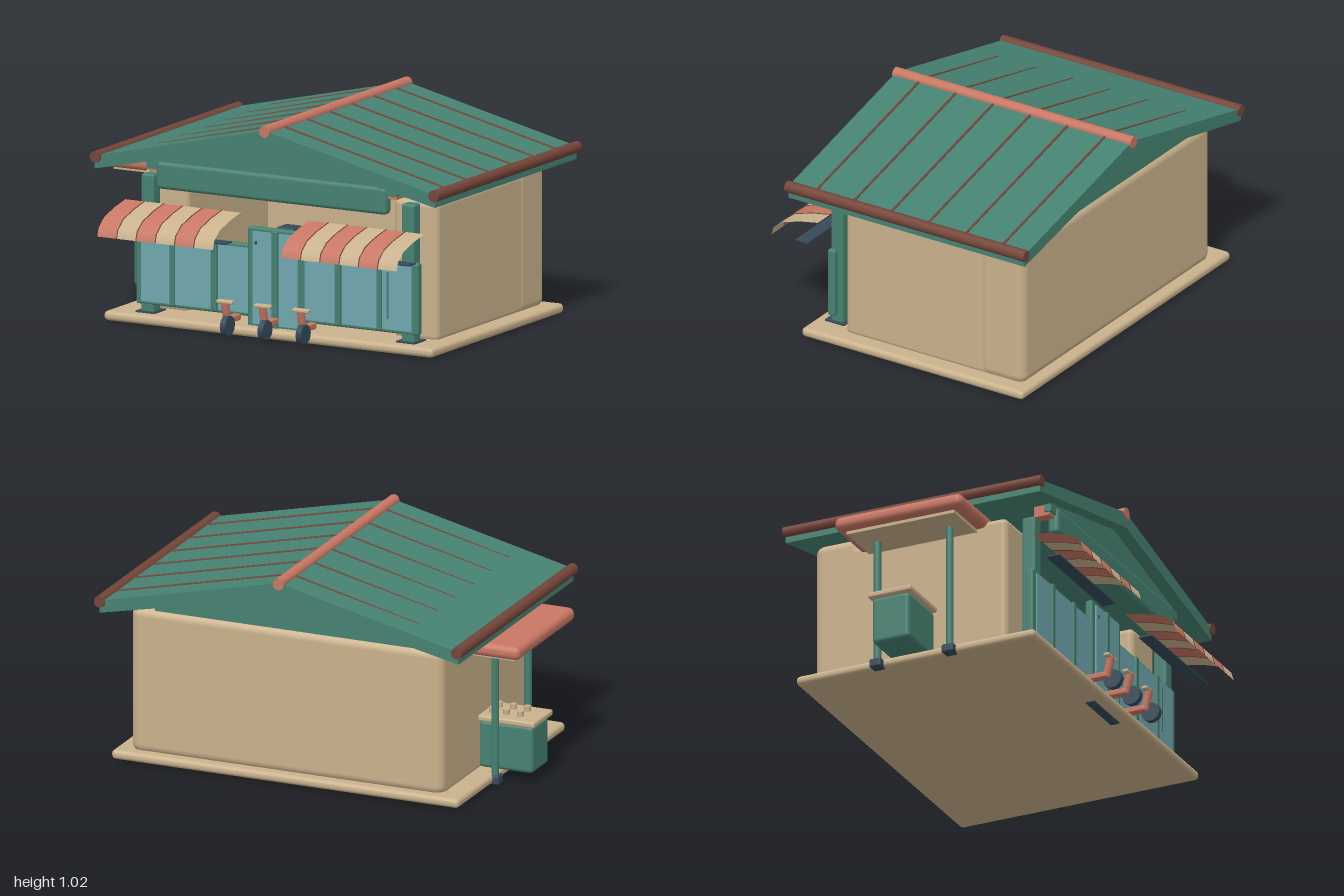
import * as THREE from 'three';
import { RoundedBoxGeometry } from 'three/addons/geometries/RoundedBoxGeometry.js';

const mat = (name, color, opts = {}) => {
  const m = new THREE.MeshStandardMaterial({ color, ...opts });
  m.name = name;
  return m;
};

export function createModel() {
  const root = new THREE.Group();
  root.name = 'marketKiosk';
  const D = { side: THREE.DoubleSide };
  const teal = mat('teal', 0x468272);
  const beige = mat('beige', 0xcab28c);
  const coral = mat('coral', 0xc97763);
  const brown = mat('darkBrown', 0x744539);
  const glass = mat('blueGlass', 0x70a8b0);
  const slate = mat('slate', 0x354a59);
  const coralCloth = mat('coralCloth', 0xc97763, D);
  const beigeCloth = mat('beigeCloth', 0xcab28c, D);

  const add = (name, geo, material, parent = root) => {
    const m = new THREE.Mesh(geo, material);
    m.name = name;
    parent.add(m);
    return m;
  };
  // box given by its limits, rounded when r > 0
  const box = (name, material, x0, x1, y0, y1, z0, z1, r = 0, parent = root) => {
    const w = x1 - x0, h = y1 - y0, d = z1 - z0;
    const g = r ? new RoundedBoxGeometry(w, h, d, 3, r) : new THREE.BoxGeometry(w, h, d);
    const m = add(name, g, material, parent);
    m.position.set((x0 + x1) / 2, (y0 + y1) / 2, (z0 + z1) / 2);
    return m;
  };
  // cylinder between two points
  const rod = (name, material, a, b, r, sides = 10, parent = root) => {
    const p = new THREE.Vector3(...a), q = new THREE.Vector3(...b);
    const dir = q.clone().sub(p);
    const m = add(name, new THREE.CylinderGeometry(r, r, dir.length(), sides), material, parent);
    m.position.copy(p).add(q).multiplyScalar(0.5);
    m.quaternion.setFromUnitVectors(new THREE.Vector3(0, 1, 0), dir.normalize());
    return m;
  };
  const prism = (name, material, pts, z0, z1) => {
    const s = new THREE.Shape(pts.map(([x, y]) => new THREE.Vector2(x, y)));
    const m = add(name, new THREE.ExtrudeGeometry(s, { depth: z1 - z0, bevelEnabled: false }), material);
    m.position.z = z0;
    return m;
  };

  // floor slab and the three walls
  box('floorSlab', beige, -0.82, 0.93, 0.01, 0.055, -0.69, 0.53, 0.02);
  box('backWall', beige, -0.72, 0.855, 0.04, 0.75, -0.645, -0.4, 0.045);
  box('sideWallRight', beige, -0.72, -0.48, 0.04, 0.7, -0.62, 0.34, 0.03);
  box('sideWallLeft', beige, 0.615, 0.85, 0.04, 0.7, -0.62, 0.34, 0.03);

  // roof
  const RX = 0.066, L = -0.84, R = 0.97, ZB = -0.73, ZF = 0.572;
  prism('roof', teal, [[L, 0.73], [RX, 0.925], [R, 0.73], [R, 0.79], [RX, 1.0], [L, 0.79]], ZB, ZF);
  for (const [z0, z1] of [[0.475, 0.51], [-0.64, -0.6]])
    prism('gableInfill', teal, [[-0.6, 0.745], [0.73, 0.745], [0.73, 0.785], [RX, 0.93], [-0.6, 0.785]], z0, z1);
  rod('ridgeTube', coral, [RX, 0.995, ZB - 0.006], [RX, 0.995, ZF + 0.006], 0.028, 12);
  for (const x of [-0.833, 0.967])
    rod('eaveTube', brown, [x, 0.785, ZB - 0.008], [x, 0.785, ZF + 0.008], 0.028, 10);
  for (let i = 0; i < 6; i++) {
    const z = -0.592 + i * 0.205;
    rod('roofRibLeft', brown, [RX, 1.0, z], [R - 0.01, 0.792, z], 0.0065, 6);
    rod('roofRibRight', brown, [RX, 1.002, z], [-0.58, 0.848, z], 0.005, 6);
  }

  // sign beam with end blocks
  box('frontBeam', teal, -0.545, 0.68, 0.655, 0.785, 0.465, 0.522, 0.02);
  for (const x of [-0.592, 0.675])
    box('beamEndBlock', coral, x, x + 0.052, 0.73, 0.785, 0.42, 0.5);

  // front posts with feet
  for (const x of [-0.627, 0.758]) {
    box('frontPost', teal, x - 0.034, x + 0.034, 0.05, 0.705, 0.39, 0.458, 0.012);
    box('postFoot', slate, x - 0.05, x + 0.05, 0.045, 0.062, 0.372, 0.478);
  }

  // counters with glass panes
  const counter = (name, x0, x1, panes) => {
    const g = new THREE.Group();
    g.name = name;
    root.add(g);
    box('counterFrame', teal, x0, x1, 0.092, 0.43, 0.42, 0.46, 0.01, g);
    for (const [a, b] of panes) {
      box('pane', glass, a, b, 0.108, 0.414, 0.458, 0.465, 0, g);
    }
    for (let i = 0; i < panes.length - 1; i++) {
      const c = (panes[i][1] + panes[i + 1][0]) / 2;
      box('mullion', teal, c - 0.014, c + 0.014, 0.1, 0.425, 0.45, 0.474, 0.006, g);
    }
  };
  counter('counterRight', -0.685, -0.08, [[-0.655, -0.5], [-0.475, -0.285], [-0.245, -0.085]]);
  counter('counterLeft', 0.21, 0.815, [[0.215, 0.375], [0.412, 0.6], [0.628, 0.785]]);
  box('counterHandle', teal, 0.655, 0.662, 0.16, 0.38, 0.464, 0.472);

  // centre door
  box('doorFrame', teal, -0.085, 0.215, 0.04, 0.518, 0.435, 0.472, 0.01);
  for (const [a, b] of [[-0.055, 0.045], [0.085, 0.185]])
    box('doorPane', glass, a, b, 0.065, 0.5, 0.47, 0.479);
  box('doorMullion', teal, 0.05, 0.08, 0.055, 0.51, 0.465, 0.485, 0.006);
  box('doorKnob', slate, -0.04, -0.03, 0.44, 0.455, 0.476, 0.484);
  box('doorSill', slate, -0.07, 0.2, 0.005, 0.03, 0.43, 0.475);
  box('counterMachine', slate, 0.02, 0.11, 0.25, 0.512, 0.3, 0.39, 0.01);

  // striped cloth awnings
  const profile = [[0.48, 0.58], [0.58, 0.56], [0.675, 0.53], [0.725, 0.49], [0.737, 0.45]];
  const stripW = 0.1025;
  const strip = (x0) => {
    const g = new THREE.PlaneGeometry(1, 1, 1, profile.length - 1);
    const p = g.attributes.position;
    for (let i = 0; i < p.count; i++) {
      const [z, y] = profile[Math.floor(i / 2)];
      p.setXYZ(i, x0 + (i % 2) * stripW, y, z);
    }
    g.computeVertexNormals();
    return g;
  };
  for (const x0 of [-0.73, 0.248]) {
    const g = new THREE.Group();
    g.name = 'awning';
    root.add(g);
    for (let i = 0; i < 6; i++) {
      add('awningStripe', strip(x0 + i * stripW), i % 2 ? beigeCloth : coralCloth, g);
      if (i) {
        const x = x0 + i * stripW;
        for (let k = 0; k < profile.length - 1; k++) {
          const [za, ya] = profile[k], [zb, yb] = profile[k + 1];
          rod('awningSeam', brown, [x, ya, za], [x, yb, zb], 0.003, 5, g);
        }
      }
    }
    box('awningTray', slate, x0 + 0.01, x0 + 0.605, 0.449, 0.456, 0.545, 0.61, 0, g);
  }

  // three small wheeled stands before the door
  for (const x of [-0.135, 0.065, 0.268]) {
    const g = new THREE.Group();
    g.name = 'wheeledStand';
    root.add(g);
    box('standArm', coral, x - 0.02, x + 0.02, 0.075, 0.105, 0.475, 0.58, 0.008, g);
    rod('standStem', coral, [x, 0.08, 0.57], [x, 0.178, 0.592], 0.019, 8, g);
    box('standBar', beige, x - 0.043, x + 0.043, 0.17, 0.187, 0.572, 0.602, 0.006, g);
    rod('standWheel', slate, [x + 0.002, 0.07, 0.597], [x + 0.03, 0.07, 0.597], 0.047, 10, g);
  }

  // side canopy with posts
  box('sideCanopy', coral, -1.0, -0.55, 0.663, 0.73, -0.41, 0.242, 0.03);
  box('canopySoffit', beige, -0.96, -0.7, 0.648, 0.668, -0.36, 0.19);
  for (const z of [-0.27, 0.1]) {
    rod('canopyPost', teal, [-0.82, 0.03, z], [-0.82, 0.655, z], 0.018, 10);
    box('canopyPostFoot', slate, -0.85, -0.79, 0.008, 0.05, z - 0.03, z + 0.03, 0.008);
  }

  // side stall cabinet with jars
  box('sideCabinet', teal, -0.985, -0.71, 0.055, 0.285, -0.22, -0.03, 0.02);
  box('cabinetTop', beige, -1.0, -0.7, 0.283, 0.312, -0.235, -0.015, 0.01);
  for (const x of [-0.9, -0.83, -0.76])
    for (const z of [-0.165, -0.085])
      rod('jar', beige, [x, 0.31, z], [x, 0.337, z], 0.016, 10);

  return root;
}
